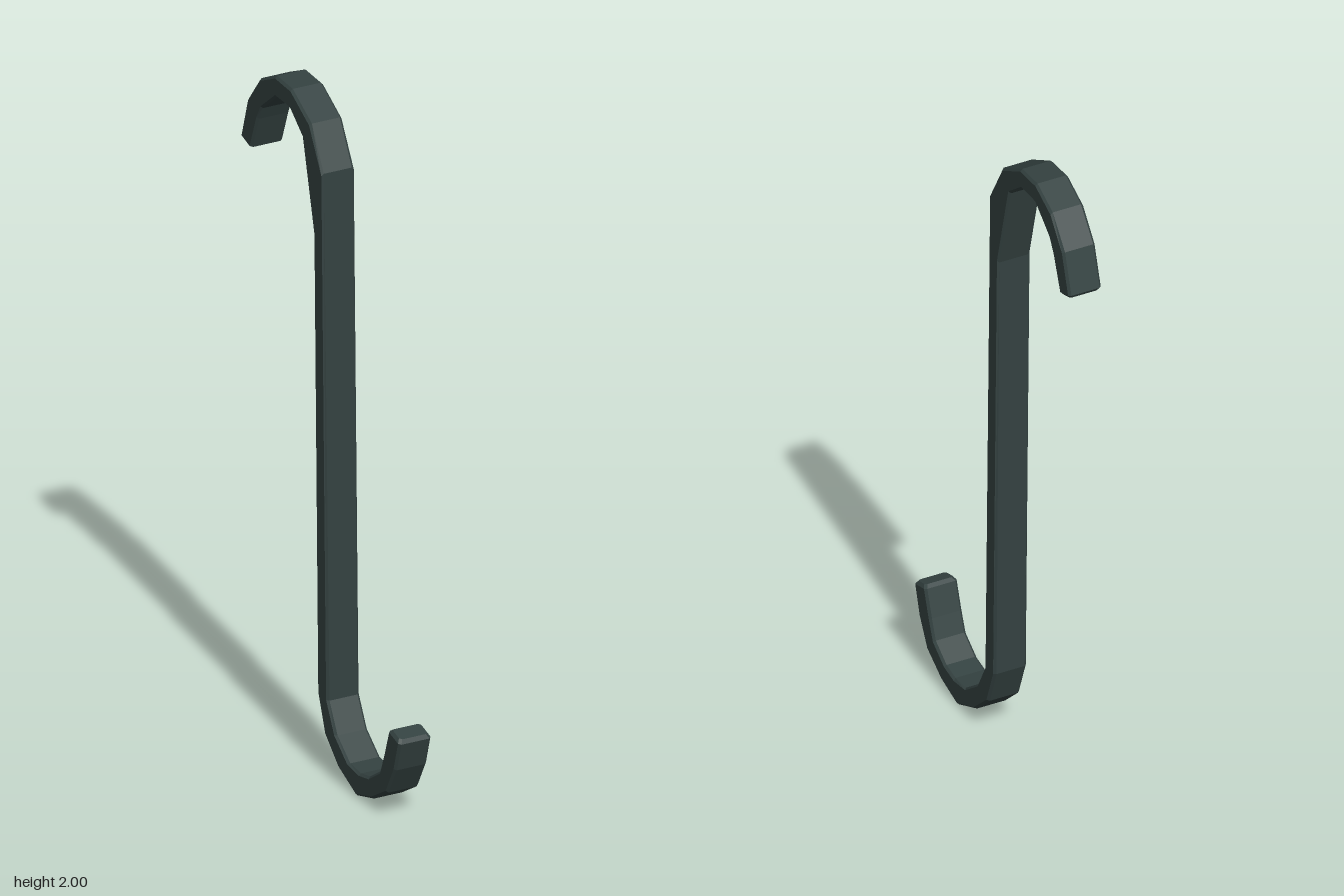
import * as THREE from 'three';

// Stations along the bar, from the upper tip to the lower tip.
// Each is [zA, yA, zB, yB]: the edge facing the front on the shank, then the rear edge.
const upperHook = [
  [-0.458, 1.745, -0.398, 1.727],
  [-0.42, 1.867, -0.36, 1.828],
  [-0.347, 1.957, -0.341, 1.868],
  [-0.257, 2.0, -0.257, 1.936],
  [-0.167, 1.996, -0.172, 1.934],
  [-0.056, 1.935, -0.1, 1.876],
  [0.013, 1.81, -0.03, 1.605],
];
const lowerHook = [
  [0.046, 0.222, -0.013, 0.23],
  [0.093, 0.135, 0.027, 0.118],
  [0.167, 0.08, 0.103, 0.048],
  [0.23, 0.075, 0.209, 0.0],
  [0.283, 0.087, 0.304, 0.028],
  [0.347, 0.13, 0.389, 0.08],
  [0.37, 0.19, 0.437, 0.167],
  [0.398, 0.272, 0.463, 0.255],
];
const halfWidth = 0.051, bevel = 0.007;

// Rectangular section with small bevels, as a ring of eight corners
function ring([zA, yA, zB, yB], w = halfWidth) {
  const d = new THREE.Vector2(zB - zA, yB - yA);
  const t = bevel / d.length();
  const at = (x, k) => new THREE.Vector3(x, yA + d.y * k, zA + d.x * k);
  const v = w - bevel;
  return [at(w, t), at(v, 0), at(-v, 0), at(-w, t),
    at(-w, 1 - t), at(-v, 1), at(v, 1), at(w, 1 - t)];
}

// A slightly smaller section just past a tip, for its bevelled end
function tipRing(s, dz, dy) {
  const k = 0.14, [zA, yA, zB, yB] = s;
  return ring([zA + (zB - zA) * k + dz, yA + (yB - yA) * k + dy,
    zB - (zB - zA) * k + dz, zB === zA ? yB : yB - (yB - yA) * k + dy], halfWidth - bevel);
}

function loft(rings) {
  const out = [];
  const tri = (...ps) => ps.forEach((p) => out.push(p.x, p.y, p.z));
  for (let s = 0; s < rings.length - 1; s++) {
    const a = rings[s], b = rings[s + 1];
    for (let i = 0; i < 8; i++) {
      const j = (i + 1) % 8;
      tri(a[i], a[j], b[j]);
      tri(a[i], b[j], b[i]);
    }
  }
  // End caps
  const first = rings[0], last = rings[rings.length - 1];
  for (let i = 1; i < 7; i++) {
    tri(first[0], first[i + 1], first[i]);
    tri(last[0], last[i], last[i + 1]);
  }
  const g = new THREE.BufferGeometry();
  g.setAttribute('position', new THREE.Float32BufferAttribute(out, 3));
  g.computeVertexNormals();
  return g;
}

export function createModel() {
  const darkIron = new THREE.MeshStandardMaterial({ color: 0x344241, flatShading: true });
  darkIron.name = 'darkIron';

  const stations = [...upperHook, ...lowerHook];
  const rings = [
    tipRing(stations[0], -0.002, -0.008),
    ...stations.map((s) => ring(s)),
    tipRing(stations[stations.length - 1], 0.002, 0.01),
  ];

  // One continuous bent bar: upper hook, shank and lower hook
  const bar = new THREE.Mesh(loft(rings), darkIron);
  bar.name = 'doubleHook';

  const model = new THREE.Group();
  model.name = 'hangingHook';
  model.add(bar);
  return model;
}
